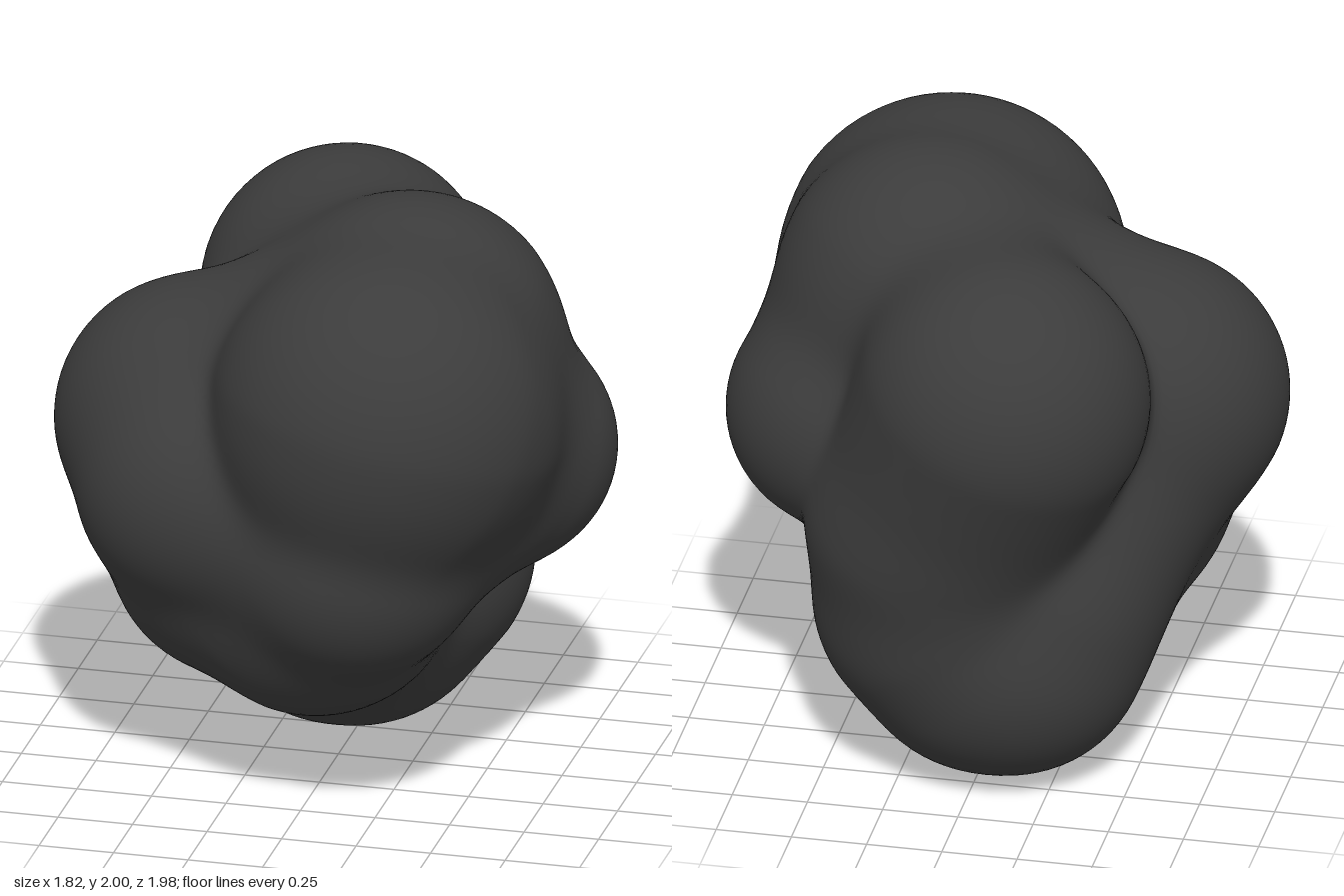
import * as THREE from 'three';
import { mergeVertices } from 'three/addons/utils/BufferGeometryUtils.js';

// Round lobes of the boulder: x, y, z, radius
const LOBES = {
  brow: [0.27, 1.38, 0.42, 0.575],
  crown: [0.27, 1.49, 0.08, 0.505],
  back: [-0.10, 1.41, -0.51, 0.51],
  saddleBack: [-0.08, 1.48, -0.46, 0.43],
  saddleFront: [0.18, 1.50, 0.0, 0.43],
  sideRight: [-0.45, 1.18, 0.10, 0.455],
  cheekRight: [-0.36, 1.05, 0.34, 0.42],
  flankRight: [-0.29, 0.77, 0.18, 0.41],
  sideLeft: [0.50, 1.11, -0.08, 0.405],
  chin: [0.17, 0.92, 0.48, 0.41],
  belly: [-0.01, 0.73, 0.26, 0.46],
  footRight: [-0.10, 0.44, -0.33, 0.43],
  footLeft: [0.0, 0.44, -0.33, 0.43],
  hipRight: [-0.17, 0.62, -0.28, 0.43],
  hipLeft: [0.11, 0.60, -0.35, 0.46],
  rump: [0.12, 0.90, -0.40, 0.465],
};

// Pairs of lobes joined by a straight tapered swelling
const LINKS = [
  ['brow', 'crown'], ['brow', 'chin'], ['brow', 'sideLeft'],
  ['crown', 'sideLeft'], ['crown', 'sideRight'],
  ['saddleBack', 'saddleFront'], ['back', 'rump'], ['rump', 'hipLeft'],
  ['sideRight', 'cheekRight'], ['sideRight', 'flankRight'], ['sideRight', 'hipRight'],
  ['cheekRight', 'chin'], ['cheekRight', 'flankRight'],
  ['chin', 'sideLeft'], ['chin', 'belly'], ['flankRight', 'belly'],
  ['belly', 'footLeft'], ['flankRight', 'footRight'], ['footRight', 'footLeft'],
  ['footRight', 'hipRight'], ['footLeft', 'hipLeft'],
].map(pair => pair.map(name => LOBES[name]));
const BLEND = 0.03;
const OVERLAP = 3; // links that usually share a lobe

// Distance to one tapered swelling
function linkDistance(p, [a, b]) {
  const bx = b[0] - a[0], by = b[1] - a[1], bz = b[2] - a[2];
  const px = p.x - a[0], py = p.y - a[1], pz = p.z - a[2];
  const along = (px * bx + py * by + pz * bz) / (bx * bx + by * by + bz * bz);
  const h = THREE.MathUtils.clamp(along, 0, 1);
  return Math.hypot(px - bx * h, py - by * h, pz - bz * h) - THREE.MathUtils.lerp(a[3], b[3], h);
}

// Distance to the softly blended union of all swellings
function distance(p) {
  let sum = 0;
  for (const link of LINKS) sum += Math.exp(-linkDistance(p, link) / BLEND);
  return -BLEND * Math.log(sum / OVERLAP);
}

// Shrink a fine sphere onto the lobes
function boulderGeometry() {
  let geo = new THREE.IcosahedronGeometry(1, 30);
  geo.deleteAttribute('uv');
  geo.deleteAttribute('normal');
  geo = mergeVertices(geo, 1e-4);
  const centre = new THREE.Vector3(0, 1.02, -0.05);
  const pos = geo.attributes.position;
  const dir = new THREE.Vector3();
  const p = new THREE.Vector3();
  for (let i = 0; i < pos.count; i++) {
    dir.fromBufferAttribute(pos, i).normalize();
    let t = 1.6;
    for (let step = 0; step < 80; step++) {
      const d = distance(p.copy(centre).addScaledVector(dir, t));
      if (d < 0.0005) break;
      t -= d * 0.9;
    }
    p.copy(centre).addScaledVector(dir, t);
    pos.setXYZ(i, p.x, p.y, p.z);
  }
  // Stand it on the ground
  geo.computeBoundingBox();
  geo.translate(0, -geo.boundingBox.min.y, 0);
  geo.computeVertexNormals();
  return geo;
}

export function createModel() {
  const group = new THREE.Group();
  group.name = 'boulder';
  const stone = new THREE.MeshStandardMaterial({ color: 0x3c3c3c });
  const mesh = new THREE.Mesh(boulderGeometry(), stone);
  mesh.name = 'lumpyStone';
  group.add(mesh);
  return group;
}
